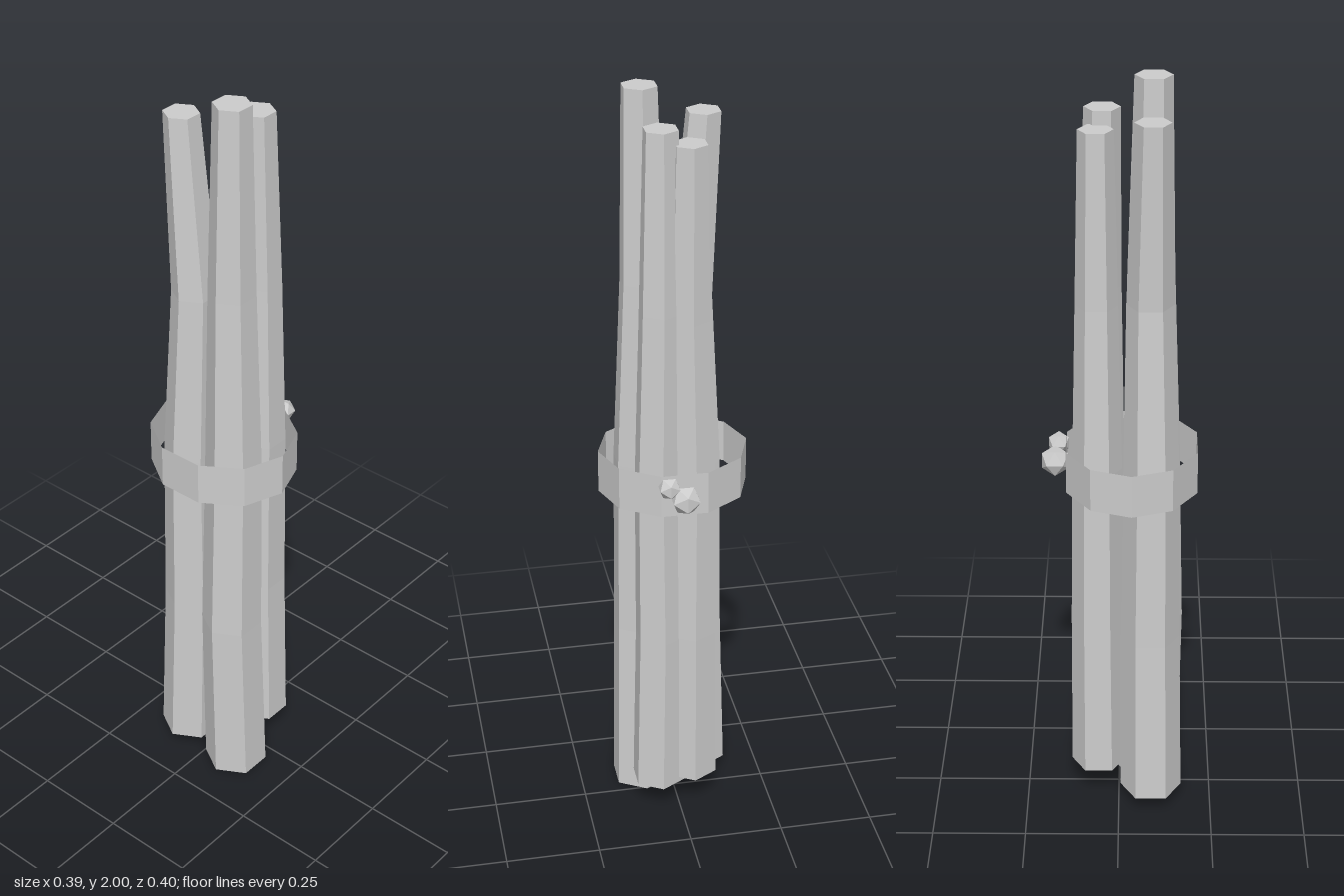
import * as THREE from 'three';

const grey = new THREE.MeshStandardMaterial({ name: 'grey', color: 0xcccccc, flatShading: true });
const greyBand = new THREE.MeshStandardMaterial({
  name: 'greyBand', color: 0xcccccc, flatShading: true, side: THREE.DoubleSide,
});

// Crooked six-sided stick; rings run from bottom to top as [x, z, radius]
function makeStick(name, bottom, top, rings) {
  const segments = rings.length - 1;
  const geometry = new THREE.CylinderGeometry(1, 1, 1, 6, segments);
  const p = geometry.attributes.position;
  for (let i = 0; i < p.count; i++) {
    const t = p.getY(i) + 0.5;
    const [x, z, r] = rings[Math.round(t * segments)];
    p.setXYZ(i, x + p.getX(i) * r, bottom + t * (top - bottom), z + p.getZ(i) * r);
  }
  geometry.computeVertexNormals();
  const mesh = new THREE.Mesh(geometry, grey);
  mesh.name = name;
  return mesh;
}

export function createModel() {
  const group = new THREE.Group();
  group.name = 'stickBundle';

  // Four upright sticks, narrowing toward the top
  group.add(
    makeStick('frontLeftStick', 0, 2, [
      [0.076, 0.078, 0.085], [0.071, 0.09, 0.08], [0.073, 0.085, 0.073], [0.064, 0.08, 0.06], [0.067, 0.083, 0.047],
    ]),
    makeStick('frontRightStick', 0.045, 1.93, [
      [-0.079, 0.087, 0.083], [-0.069, 0.083, 0.078], [-0.07, 0.083, 0.072], [-0.056, 0.078, 0.06], [-0.09, 0.081, 0.045],
    ]),
    makeStick('backRightStick', 0.1, 1.895, [
      [-0.037, -0.055, 0.073], [-0.036, -0.057, 0.069], [-0.038, -0.056, 0.064], [-0.03, -0.056, 0.054], [-0.031, -0.056, 0.044],
    ]),
    makeStick('backLeftStick', 0.085, 1.93, [
      [0.052, -0.057, 0.074], [0.045, -0.055, 0.07], [0.048, -0.052, 0.065], [0.042, -0.05, 0.056], [0.038, -0.041, 0.045],
    ]),
  );

  // Thin oval band around the bundle
  const band = new THREE.Mesh(
    new THREE.CylinderGeometry(1, 1, 0.115, 10, 1, true, Math.PI / 2), greyBand);
  band.scale.set(0.195, 1, 0.177);
  band.position.set(-0.004, 0.998, 0.033);
  band.name = 'band';
  group.add(band);

  // Two knots at the back of the band
  for (const [name, r, x, y, z] of [
    ['largeKnot', 0.04, 0, 1.0, -0.165],
    ['smallKnot', 0.03, 0.04, 1.032, -0.156],
  ]) {
    const knot = new THREE.Mesh(new THREE.IcosahedronGeometry(r, 0), grey);
    knot.position.set(x, y, z);
    knot.name = name;
    group.add(knot);
  }
  return group;
}
